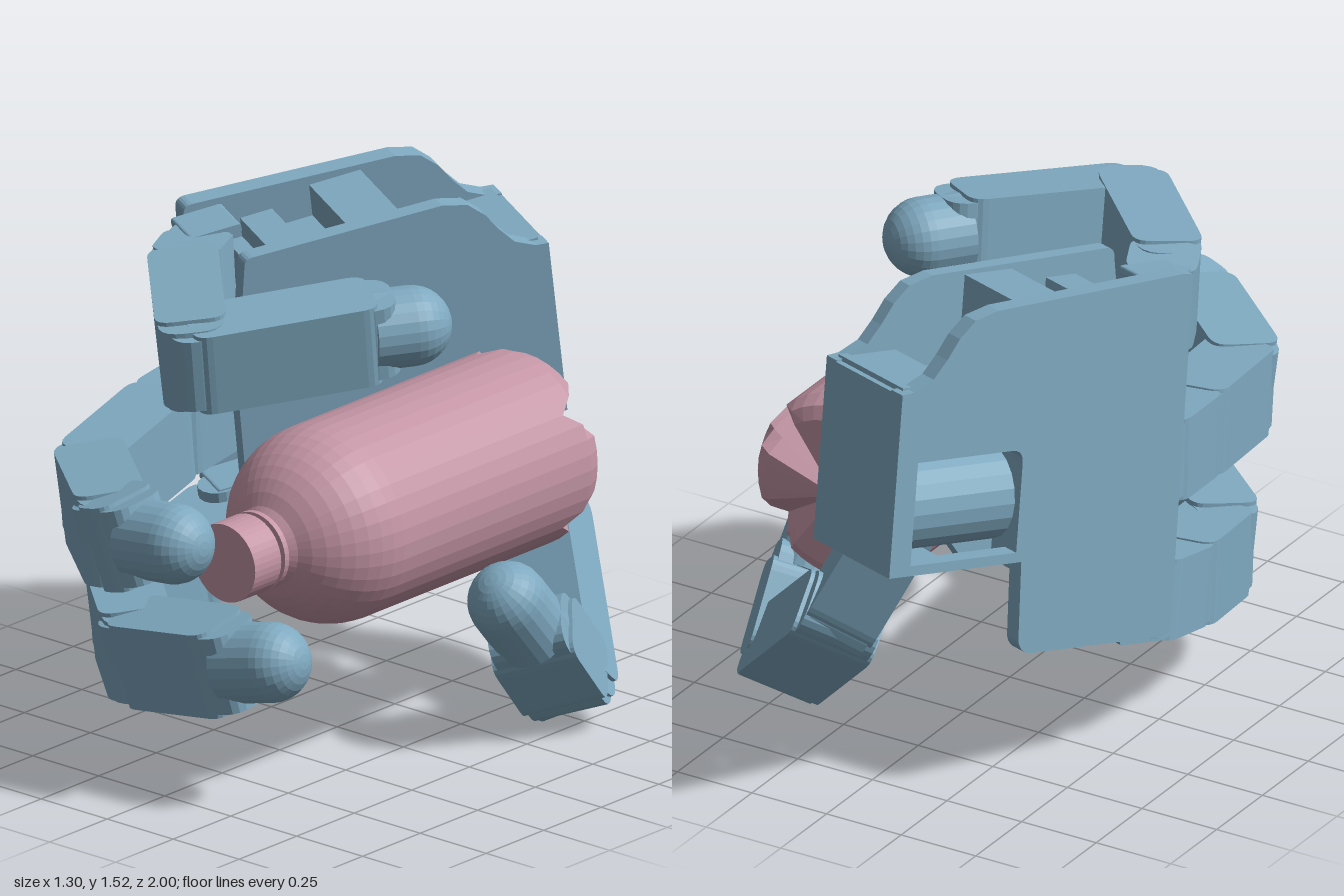
import * as THREE from 'three';

const V = (x, y, z) => new THREE.Vector3(x, y, z);
const blue = new THREE.MeshStandardMaterial({ color: 0x7fa9c0, flatShading: true, side: THREE.DoubleSide });
const pink = new THREE.MeshStandardMaterial({ color: 0xc596a6, flatShading: true, side: THREE.DoubleSide });

// Palm axes: F toward the fingers, W across the knuckles, N out of the palm.
const F = V(-0.44, -0.15, 0.886).normalize();
const N = V(0.896, -0.105, 0.427).normalize();
const W = F.clone().cross(N).normalize();
const ORIGIN = V(-0.21, 0.82, -1.0);
const DEPTH = 0.4;
const onPalm = (a, b, n) => ORIGIN.clone().addScaledVector(F, a).addScaledVector(W, b).addScaledVector(N, n);

function add(parent, name, geometry, material = blue) {
  const mesh = new THREE.Mesh(geometry, material);
  mesh.name = name;
  parent.add(mesh);
  return mesh;
}

function roundedRect(w, h, r) {
  const s = new THREE.Shape(), x = w / 2, y = h / 2;
  s.moveTo(-x + r, -y);
  s.lineTo(x - r, -y); s.quadraticCurveTo(x, -y, x, -y + r);
  s.lineTo(x, y - r); s.quadraticCurveTo(x, y, x - r, y);
  s.lineTo(-x + r, y); s.quadraticCurveTo(-x, y, -x, y - r);
  s.lineTo(-x, -y + r); s.quadraticCurveTo(-x, -y, -x + r, -y);
  return s;
}

const slab = (shape, depth) => new THREE.ExtrudeGeometry(shape, { depth, bevelEnabled: false, curveSegments: 5 });

// One finger link between two joints: a wide shell over a narrower core that reaches the hinges.
function link(parent, p, q, axis, width, depth) {
  const g = new THREE.Group();
  g.name = 'fingerLink';
  const dir = q.clone().sub(p), length = dir.length();
  dir.normalize();
  const z = axis.clone().addScaledVector(dir, -axis.dot(dir)).normalize();
  const y = z.clone().cross(dir);
  g.applyMatrix4(new THREE.Matrix4().makeBasis(dir, y, z).setPosition(p.clone().lerp(q, 0.5)));
  const core = width - 0.025;
  add(g, 'linkShell', slab(roundedRect(length + 0.03, depth, 0.05), width)).position.z = -width / 2;
  add(g, 'linkCore', slab(roundedRect(length + 0.15, depth - 0.015, 0.075), core)).position.z = -core / 2;
  parent.add(g);
}

// A chain of links ending in a domed tip at the last point.
function finger(parent, name, points, axis, widths) {
  const g = new THREE.Group();
  g.name = name;
  const last = points.length - 1;
  for (let i = 0; i < last - 1; i++) {
    link(g, points[i], points[i + 1], axis, widths[i], 0.205);
  }
  const base = points[last - 1], tip = points[last];
  const dir = tip.clone().sub(base);
  const rod = new THREE.CylinderGeometry(0.117, 0.117, dir.length(), 24, 1).translate(0, -dir.length() / 2, 0);
  const dome = new THREE.SphereGeometry(0.117, 24, 8, 0, Math.PI * 2, 0, Math.PI / 2);
  for (const [part, geo] of [['tipSleeve', rod], ['tipDome', dome]]) {
    const m = add(g, part, geo);
    m.position.copy(tip);
    m.quaternion.setFromUnitVectors(V(0, 1, 0), dir.clone().normalize());
  }
  parent.add(g);
}

function buildPalm(parent) {
  const palm = new THREE.Group();
  palm.name = 'palm';
  palm.applyMatrix4(new THREE.Matrix4().makeBasis(F, W, N.clone().negate())
    .setPosition(onPalm(0, 0, DEPTH)));

  // Shared top outline: wrist step, S-curve, then flat to the knuckles
  const outline = (end, top) => {
    const s = new THREE.Shape();
    s.moveTo(0, 0);
    s.lineTo(0, 0.55);
    s.lineTo(0.04, 0.555);
    s.bezierCurveTo(0.17, 0.58, 0.15, 0.765, 0.31, 0.77);
    s.lineTo(end - 0.03, top);
    s.quadraticCurveTo(end, top, end, top - 0.03);
    return s;
  };
  const back = outline(0.97, 0.81);
  back.lineTo(0.98, -0.25);
  back.quadraticCurveTo(0.98, -0.28, 0.95, -0.28);
  back.lineTo(0.51, -0.28);
  back.quadraticCurveTo(0.47, -0.28, 0.46, -0.24);
  back.lineTo(0.45, 0);
  const opening = new THREE.Path();
  opening.moveTo(0.07, 0.03);
  opening.lineTo(0.43, 0.03);
  opening.lineTo(0.43, 0.3);
  opening.quadraticCurveTo(0.43, 0.34, 0.39, 0.34);
  opening.lineTo(0.07, 0.34);
  back.holes.push(opening);
  add(palm, 'backPlate', slab(back, 0.06)).position.z = DEPTH - 0.06;

  const front = outline(0.93, 0.785);
  front.lineTo(0.99, 0.4);
  front.lineTo(1.0, -0.12);
  front.lineTo(0.5, -0.12);
  front.lineTo(0.4, 0);
  add(palm, 'frontPlate', slab(front, 0.05));

  // Cross pieces between the plates: a0, a1, b0, b1
  const blocks = [
    ['wristWall', 0, 0.06, 0, 0.545], ['wristTop', 0.02, 0.2, 0.38, 0.56],
    ['wristFloor', 0, 0.2, 0, 0.03], ['wellFloor', 0.2, 0.42, 0.38, 0.5],
    ['crossBar', 0.42, 0.58, 0.36, 0.76], ['knuckleBlock', 0.58, 0.85, -0.11, 0.66],
    ['knuckleStep', 0.7, 0.8, 0.66, 0.72],
  ];
  for (const [name, a0, a1, b0, b1] of blocks) {
    add(palm, name, new THREE.BoxGeometry(a1 - a0, b1 - b0, DEPTH - 0.06)
      .translate((a0 + a1) / 2, (b0 + b1) / 2, DEPTH / 2));
  }
  // Paired lugs holding each knuckle
  for (const b of [0.65, 0.22, -0.18]) {
    for (const side of [-1, 1]) {
      add(palm, 'knuckleLug', slab(roundedRect(0.16, 0.03, 0.01), 0.14))
        .position.set(0.93, b + side * 0.12, 0.2);
    }
    add(palm, 'knucklePin', new THREE.CylinderGeometry(0.06, 0.06, 0.26, 16)).position.set(0.99, b, 0.25);
  }
  // Barrel the thumb swings on
  add(palm, 'thumbBarrel', new THREE.CylinderGeometry(0.14, 0.14, 0.36, 20).rotateZ(Math.PI / 2))
    .position.set(0.25, 0.17, 0.235);
  parent.add(palm);
}

function buildBottle(parent) {
  const R = 0.292, bottom = -0.57;
  const pts = [[0, bottom], [0.12, bottom], [0.235, bottom], [0.272, bottom + 0.02],
    [R, bottom + 0.07], [R, -0.42], [R, 0.31]];
  for (let i = 1; i <= 8; i++) {
    const t = (i / 8) * 1.15;
    pts.push([R * Math.cos(t), 0.31 + R * Math.sin(t)]);
  }
  pts.push([0.1, 0.595], [0.1, 0.61], [0.117, 0.612], [0.117, 0.63], [0.1, 0.632], [0.1, 0.645],
    [0.117, 0.647], [0.117, 0.76], [0, 0.76]);
  const geo = new THREE.LatheGeometry(pts.map(([r, z]) => new THREE.Vector2(r, z)), 40);
  geo.rotateX(Math.PI / 2);
  // Five V-shaped grooves radiating across the base
  const pos = geo.attributes.position, step = Math.PI * 2 / 5;
  for (let i = 0; i < pos.count; i++) {
    const x = pos.getX(i), y = pos.getY(i), z = pos.getZ(i);
    if (z > -0.45) continue;
    const turn = Math.atan2(y, x) - Math.PI / 5;
    const off = Math.abs(turn - Math.round(turn / step) * step);
    const floor = bottom + 0.13 * Math.max(0, 1 - off / 0.32) * Math.hypot(x, y) / R;
    pos.setZ(i, Math.max(z, floor));
  }
  geo.computeVertexNormals();
  add(parent, 'bottle', geo, pink).position.set(0.235, 0.778, 0);
}

export function createModel() {
  const model = new THREE.Group();
  model.name = 'handHoldingBottle';
  buildPalm(model);
  buildBottle(model);

  finger(model, 'upperFinger', [onPalm(0.98, 0.65, 0.18), V(-0.395, 1.295, 0.2), V(-0.055, 1.265, 0.555),
    V(0.245, 1.315, 0.14), V(0.315, 1.32, 0.04)], W, [0.255, 0.27, 0.25]);
  finger(model, 'middleFinger', [onPalm(0.98, 0.22, 0.15), V(-0.48, 0.855, 0.2), V(-0.41, 0.8, 0.59),
    V(-0.09, 0.81, 0.86), V(0.01, 0.835, 0.88), V(0.15, 0.85, 0.88)], W, [0.25, 0.26, 0.275, 0.26]);
  finger(model, 'lowerFinger', [onPalm(0.98, -0.2, 0.15), V(-0.5, 0.41, 0.12), V(-0.46, 0.38, 0.4),
    V(-0.2, 0.365, 0.63), V(0.15, 0.42, 0.64), V(0.29, 0.45, 0.62)], W, [0.24, 0.255, 0.275, 0.265]);
  finger(model, 'thumb', [V(-0.06, 0.86, -0.66), V(0.11, 0.5, -0.74), V(0.47, 0.14, -0.45),
    V(0.49, 0.33, -0.29), V(0.49, 0.46, -0.18)], V(0.84, 0.36, -0.42), [0.21, 0.25, 0.25]);
  return model;
}
